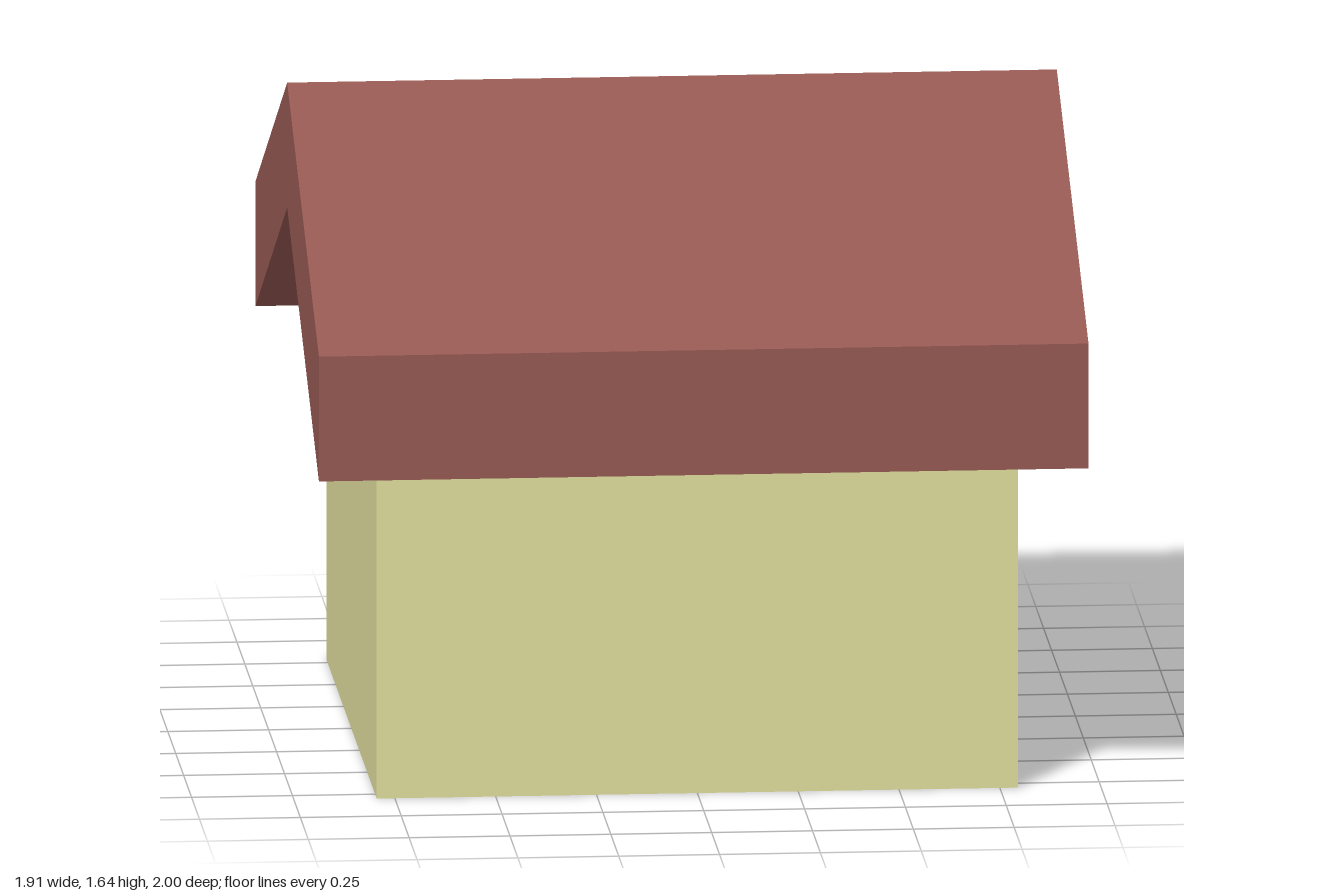
import * as THREE from 'three';

// Extrudes a (z, y) outline along x, centred on x = 0
function prism(name, outline, width, color) {
  const shape = new THREE.Shape(outline.map(([z, y]) => new THREE.Vector2(z, y)));
  const geometry = new THREE.ExtrudeGeometry(shape, { depth: width, bevelEnabled: false });
  geometry.rotateY(-Math.PI / 2).translate(width / 2, 0, 0);
  const mesh = new THREE.Mesh(geometry, new THREE.MeshStandardMaterial({ color, flatShading: true }));
  mesh.name = name;
  return mesh;
}

export function createModel() {
  const group = new THREE.Group();
  group.name = 'house';

  const ridge = 1.638, eave = 1.166, thickness = 0.316;
  const under = (z) => ridge - thickness - (ridge - eave) * Math.abs(z);
  const front = 0.8, back = -0.79;

  // Solid body with gabled side walls that meet the roof underside
  group.add(prism('walls', [
    [back, 0], [front, 0], [front, under(front)], [0, under(0)], [back, under(back)],
  ], 1.59, 0xdddb9b));

  // Thick overhanging gable roof with vertical eaves
  group.add(prism('roof', [
    [-1, under(-1)], [0, under(0)], [1, under(1)], [1, eave], [0, ridge], [-1, eave],
  ], 1.908, 0x955852));

  return group;
}
